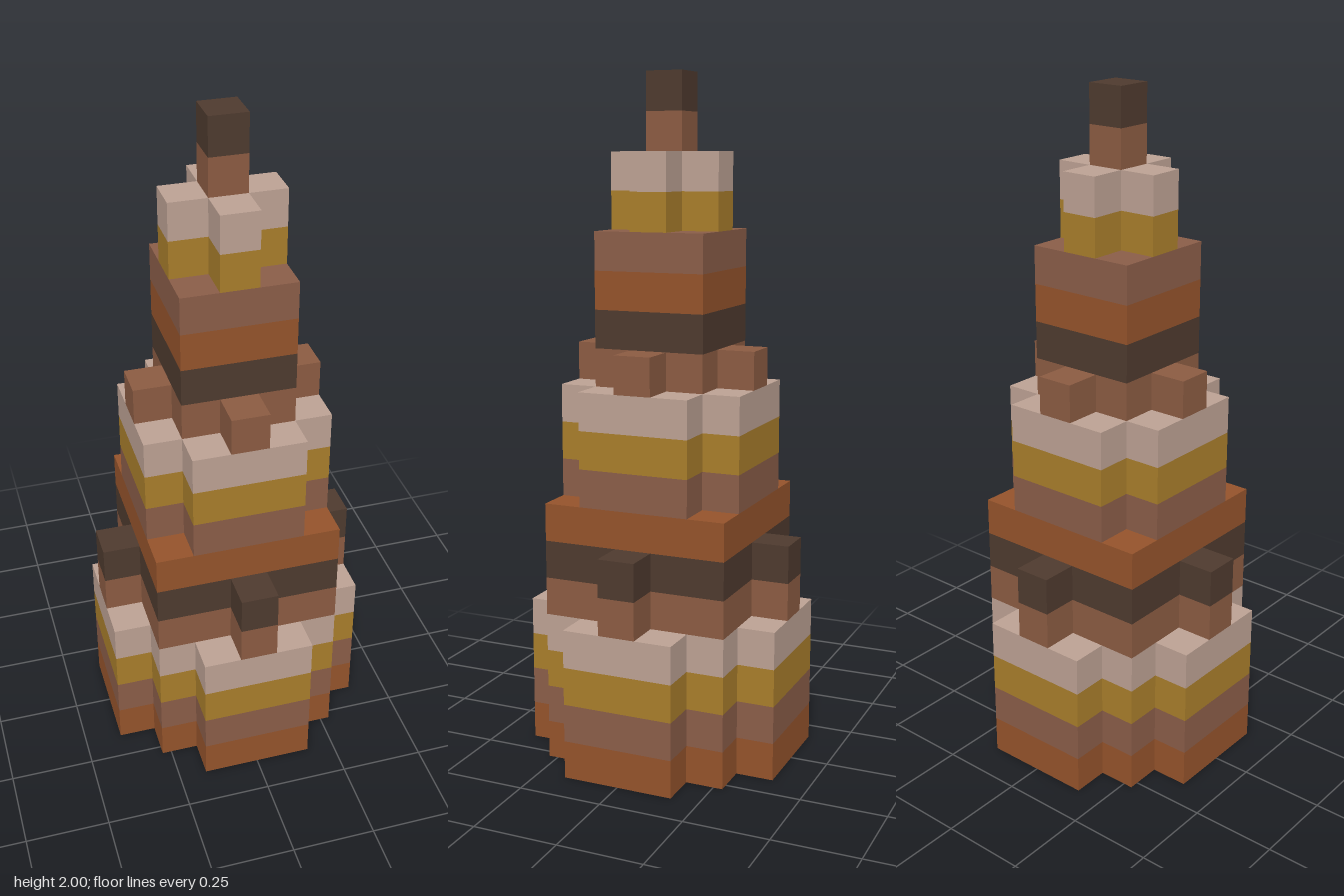
import * as THREE from 'three';

const U = 2 / 18; // block size

// Column heights in blocks for one quadrant, HEIGHTS[|z|][|x|]
const HEIGHTS = [
  [18, 16, 11, 6],
  [16, 14, 10, 4],
  [11, 10, 7, 0],
  [6, 4, 0, 0],
];

// Stepped outline of one layer: a quarter staircase turned four times
function layerShape(level) {
  const halfWidths = HEIGHTS
    .map((row) => row.filter((h) => h > level).length - 1)
    .filter((w) => w >= 0);
  const quarter = [];
  halfWidths.forEach((w, j) => {
    if (j > 0 && w !== halfWidths[j - 1]) quarter.push([w + 0.5, j - 0.5]);
    if (w !== halfWidths[j + 1]) quarter.push([w + 0.5, j + 0.5]);
  });
  const points = [];
  for (let turn = 0; turn < 4; turn++) {
    for (const [x, y] of quarter) {
      const [px, py] = [[x, y], [-y, x], [-x, -y], [y, -x]][turn];
      points.push(new THREE.Vector2(px * U, py * U));
    }
  }
  return new THREE.Shape(points);
}

export function createModel() {
  const material = (name, color) => {
    const m = new THREE.MeshStandardMaterial({ color });
    m.name = name;
    return m;
  };
  // Repeating strata, from the ground up
  const strata = [
    material('rust', 0x94532b),
    material('clayBrown', 0x8a5d48),
    material('gold', 0xa87d2b),
    material('paleClay', 0xbca193),
    material('warmBrown', 0x8b5b42),
    material('darkBrown', 0x4e3a2e),
  ];

  const group = new THREE.Group();
  group.name = 'steppedSpire';
  for (let level = 0; level < HEIGHTS[0][0]; level++) {
    const geometry = new THREE.ExtrudeGeometry(layerShape(level), { depth: U, bevelEnabled: false });
    geometry.rotateX(-Math.PI / 2);
    const stratum = strata[level % strata.length];
    const layer = new THREE.Mesh(geometry, stratum);
    layer.name = `${stratum.name}Layer${level + 1}`;
    layer.position.y = level * U;
    group.add(layer);
  }
  return group;
}
